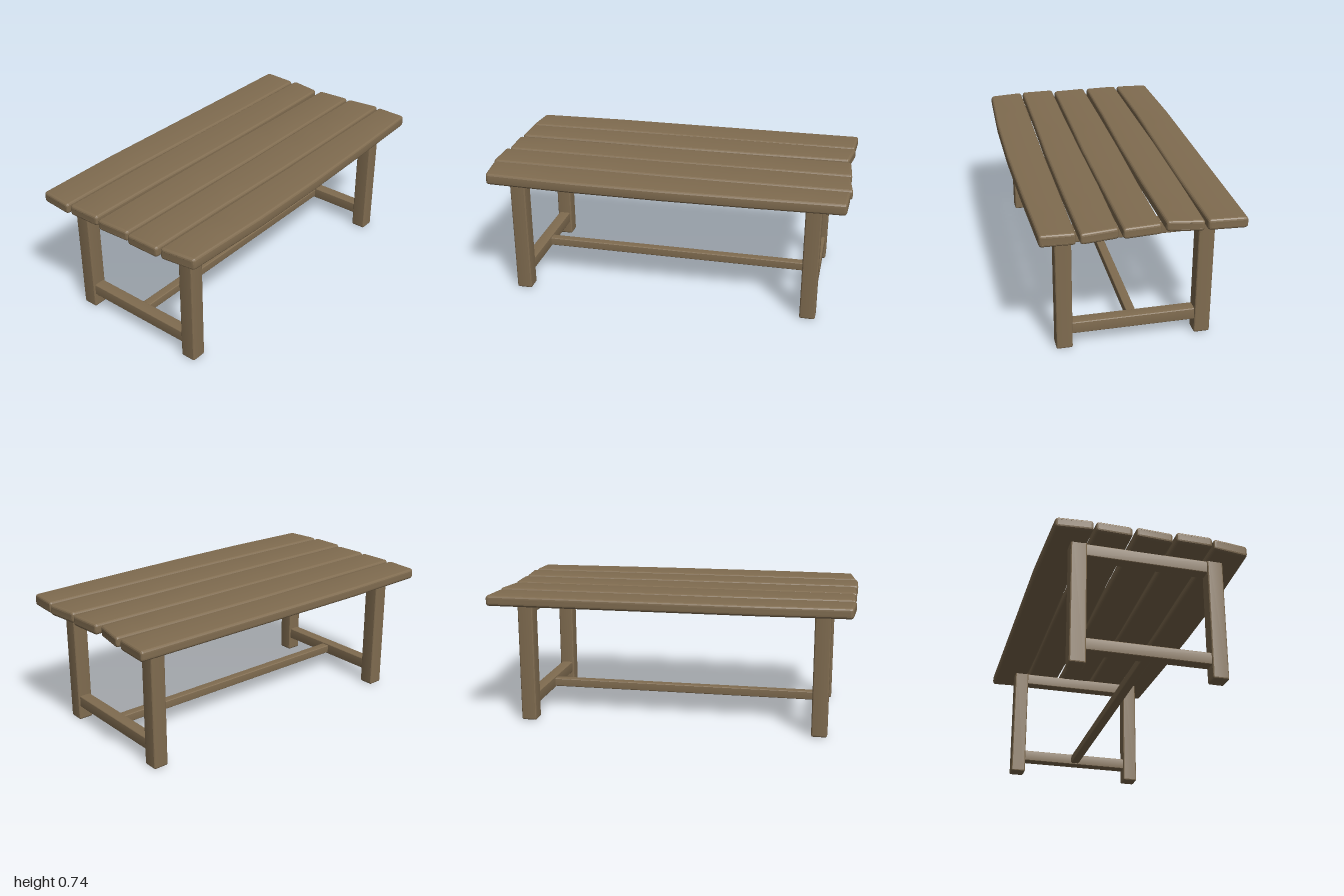
import * as THREE from 'three';
import { toCreasedNormals } from 'three/addons/utils/BufferGeometryUtils.js';

const wood = new THREE.MeshStandardMaterial({ color: 0x806c50 });
wood.name = 'weathered wood';

// Beam along z with worn edges, centred on the origin
function beamGeometry(width, height, length, round, bevel, steps = 1) {
  const x = width / 2, y = height / 2, r = round;
  const s = new THREE.Shape();
  s.moveTo(-x + r, -y);
  s.lineTo(x - r, -y);
  s.quadraticCurveTo(x, -y, x, -y + r);
  s.lineTo(x, y - r);
  s.quadraticCurveTo(x, y, x - r, y);
  s.lineTo(-x + r, y);
  s.quadraticCurveTo(-x, y, -x, y - r);
  s.lineTo(-x, -y + r);
  s.quadraticCurveTo(-x, -y, -x + r, -y);
  const geo = new THREE.ExtrudeGeometry(s, {
    depth: length - 2 * bevel, steps, curveSegments: 4,
    bevelEnabled: true, bevelThickness: bevel, bevelSize: bevel,
    bevelOffset: -bevel, bevelSegments: 3,
  });
  return geo.translate(0, 0, bevel - length / 2);
}

function addMesh(parent, name, geo, x, y, z) {
  const mesh = new THREE.Mesh(toCreasedNormals(geo, 0.24), wood);
  mesh.name = name;
  mesh.position.set(x, y, z);
  parent.add(mesh);
  return mesh;
}

// Value of an evenly spaced list of stations at t = 0..1
function sample(list, t) {
  const f = THREE.MathUtils.clamp(t, 0, 1) * (list.length - 1);
  const i = Math.min(Math.floor(f), list.length - 2);
  return THREE.MathUtils.lerp(list[i], list[i + 1], f - i);
}

// Plank whose side edges wander and whose ends are cut askew
function plankGeometry({ left, right, back, front, y }) {
  const width = 0.2, length = 1.96;
  const geo = beamGeometry(width, y[1] - y[0], length, 0.02, 0.014, 16);
  const p = geo.attributes.position;
  for (let i = 0; i < p.count; i++) {
    const u = p.getX(i) / width + 0.5;
    const v = p.getZ(i) / length + 0.5;
    p.setX(i, THREE.MathUtils.lerp(sample(left, v), sample(right, v), u));
    p.setZ(i, THREE.MathUtils.lerp(sample(back, u), sample(front, u), v));
  }
  return geo;
}

export function createModel() {
  const table = new THREE.Group();
  table.name = 'plank table';

  // Table top: side edges listed from back to front, ends from -x to +x
  const planks = [
    { left: [-0.53, -0.53, -0.53, -0.53, -0.515], right: [-0.328, -0.322, -0.325, -0.33, -0.32],
      back: [-0.99, -0.985, -0.978], front: [0.965, 0.98, 0.98], y: [0.674, 0.733] },
    { left: [-0.312, -0.318, -0.32, -0.313, -0.308], right: [-0.125, -0.115, -0.112, -0.118, -0.116],
      back: [-0.985, -0.978, -0.955], front: [0.975, 0.978, 0.97], y: [0.678, 0.736] },
    { left: [-0.1, -0.1, -0.105, -0.104, -0.1], right: [0.094, 0.1, 0.105, 0.1, 0.098],
      back: [-0.97, -0.978, -0.985], front: [0.98, 0.985, 0.968], y: [0.676, 0.734] },
    { left: [0.112, 0.108, 0.112, 0.113, 0.11], right: [0.306, 0.313, 0.315, 0.308, 0.306],
      back: [-0.975, -0.99, -1], front: [0.985, 0.99, 0.982], y: [0.678, 0.737] },
    { left: [0.322, 0.323, 0.325, 0.32, 0.316], right: [0.5, 0.518, 0.53, 0.53, 0.512],
      back: [-0.988, -0.988, -0.98], front: [0.972, 0.965, 0.945], y: [0.675, 0.739] },
  ];
  const top = new THREE.Group();
  top.name = 'tableTop';
  table.add(top);
  planks.forEach((plank, i) =>
    addMesh(top, `plank${i + 1}`, plankGeometry(plank), 0, (plank.y[0] + plank.y[1]) / 2, 0));

  // Two end frames, each with two legs and two cross rails
  for (const side of [1, -1]) {
    const frame = new THREE.Group();
    frame.name = side > 0 ? 'frontFrame' : 'backFrame';
    table.add(frame);
    for (const x of [0.365, -0.367]) {
      const leg = beamGeometry(0.086, 0.086, 0.685, 0.012, 0.01).rotateX(-Math.PI / 2);
      addMesh(frame, x > 0 ? 'leftLeg' : 'rightLeg', leg, x, 0.3425, side * 0.812);
    }
    for (const [name, y] of [['topRail', 0.645], ['bottomRail', 0.112]]) {
      const rail = beamGeometry(0.066, name === 'topRail' ? 0.07 : 0.066, 0.68, 0.008, 0.006);
      addMesh(frame, name, rail.rotateY(Math.PI / 2), 0, y, side * 0.812);
    }
  }

  // Long stretcher joining the bottom rails
  addMesh(table, 'stretcher', beamGeometry(0.05, 0.048, 1.62, 0.007, 0.006), 0, 0.112, 0);

  return table;
}
